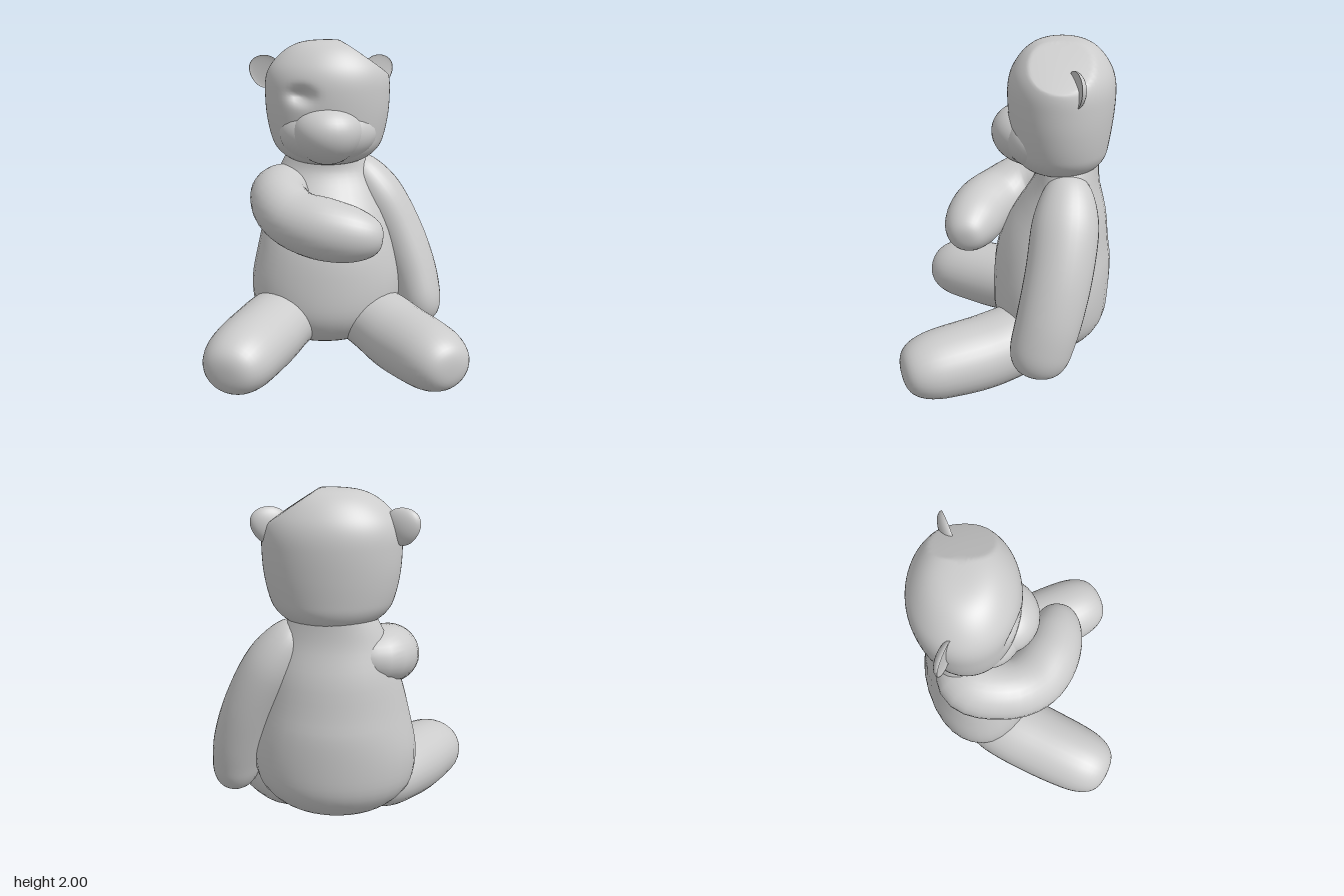
import * as THREE from 'three';
import { mergeVertices } from 'three/addons/utils/BufferGeometryUtils.js';

const material = new THREE.MeshStandardMaterial({ color: 0xcccccc });

// Smooth interpolation through rows of numbers, t in 0..1
function sample(rows, t) {
  const n = rows.length - 1;
  const i = Math.min(Math.floor(t * n), n - 1), f = t * n - i;
  const [p, a, b, q] = [Math.max(i - 1, 0), i, i + 1, Math.min(i + 2, n)].map(k => rows[k]);
  return a.map((v, k) => 0.5 * (2 * v + (b[k] - p[k]) * f
    + (2 * p[k] - 5 * v + 4 * b[k] - q[k]) * f * f
    + (3 * v - p[k] + q[k] - 3 * b[k]) * f * f * f));
}

// Stuffed shape: stations are [x, y, z, radiusAcross, radiusAlongRef], with domed ends
function stuffed(stations, ref, capStart, capEnd, steps = 40, sides = 32) {
  const dome = u => Math.pow(Math.max(0, 1 - Math.pow(u, 2.4)), 1 / 2.4);
  const positions = [], index = [];
  for (let i = 0; i <= steps; i++) {
    const t = (1 - Math.cos(Math.PI * i / steps)) / 2;
    const [x, y, z, ra, rb] = sample(stations, t);
    const before = sample(stations, Math.max(t - 0.02, 0)), after = sample(stations, Math.min(t + 0.02, 1));
    const T = new THREE.Vector3(after[0] - before[0], after[1] - before[1], after[2] - before[2]).normalize();
    const S = new THREE.Vector3().crossVectors(ref, T).normalize();
    const U = new THREE.Vector3().crossVectors(T, S);
    let k = 1;
    if (t < capStart) k *= dome(1 - t / capStart);
    if (t > 1 - capEnd) k *= dome((t - 1 + capEnd) / capEnd);
    for (let j = 0; j < sides; j++) {
      const a = j / sides * Math.PI * 2;
      const p = new THREE.Vector3(x, y, z)
        .addScaledVector(S, Math.cos(a) * ra * k).addScaledVector(U, Math.sin(a) * rb * k);
      positions.push(p.x, p.y, p.z);
      if (i < steps) {
        const c = i * sides + j, d = i * sides + (j + 1) % sides;
        index.push(c, d, c + sides, d, d + sides, c + sides);
      }
    }
  }
  const g = new THREE.BufferGeometry();
  g.setAttribute('position', new THREE.Float32BufferAttribute(positions, 3));
  g.setIndex(index);
  const merged = mergeVertices(g, 1e-5);
  merged.computeVertexNormals();
  return merged;
}

// Move every vertex by a rule, with seams welded
function reshape(source, rule) {
  source.deleteAttribute('normal');
  source.deleteAttribute('uv');
  const g = mergeVertices(source, 1e-5);
  const p = g.attributes.position, v = new THREE.Vector3();
  for (let i = 0; i < p.count; i++) {
    rule(v.fromBufferAttribute(p, i));
    p.setXYZ(i, v.x, v.y, v.z);
  }
  g.computeVertexNormals();
  return g;
}

export function createModel() {
  const bear = new THREE.Group();
  bear.name = 'teddyBear';
  const Y = new THREE.Vector3(0, 1, 0), Z = new THREE.Vector3(0, 0, 1);
  const add = (name, geometry) => {
    const mesh = new THREE.Mesh(geometry, material);
    mesh.name = name;
    bear.add(mesh);
    return mesh;
  };

  // Pear-shaped body, bottom to neck
  add('body', stuffed([
    [0, 0.12, -0.25, 0.38, 0.29], [0, 0.3, -0.25, 0.45, 0.34], [0, 0.52, -0.255, 0.475, 0.355],
    [0, 0.76, -0.27, 0.43, 0.34], [0, 1.0, -0.315, 0.37, 0.265], [0, 1.2, -0.335, 0.3, 0.19],
    [0, 1.36, -0.33, 0.22, 0.19]], Z, 0.25, 0));

  // Head with a sloping left crown and one pressed-in eye socket
  add('head', reshape(stuffed([
    [0.01, 1.25, -0.29, 0.27, 0.25], [0.01, 1.4, -0.29, 0.34, 0.275], [0.01, 1.55, -0.29, 0.375, 0.295],
    [0.01, 1.7, -0.29, 0.385, 0.305], [0.01, 1.86, -0.29, 0.38, 0.3], [0.01, 2.01, -0.29, 0.33, 0.27]],
    Z, 0.2, 0.4, 64, 72), v => {
    const d = ((v.x + 0.17) / 0.06) ** 2 + ((v.y - 1.69) / 0.045) ** 2;
    if (v.z > -0.25) v.z -= 0.07 * Math.exp(-d);
    const over = v.y - (2.06 - 0.68 * v.x);
    if (over > 0) v.y -= over * 0.9;
  }));

  // Muzzle, broad above and narrowing to the chin, set in rounded cheeks
  add('muzzle', reshape(new THREE.SphereGeometry(1, 32, 24), v =>
    v.set(-0.01 + v.x * (0.215 + 0.025 * v.y), 1.45 + v.y * 0.18, -0.1 + v.z * 0.21 + v.y * 0.02)));
  add('cheeks', reshape(new THREE.SphereGeometry(1, 32, 24), v =>
    v.set(v.x * 0.3, 1.46 + v.y * 0.19, -0.17 + v.z * 0.21)));

  // Cupped ears, hollow towards the front
  for (const [name, x, turn] of [['leftEar', 0.34, 0.38], ['rightEar', -0.375, -0.38]]) {
    const ear = add(name, reshape(new THREE.SphereGeometry(1, 24, 16), v =>
      v.set(v.x * (0.1 + 0.02 * v.y), v.y * 0.1, (v.z > 0 ? -0.2 * v.z : v.z) * 0.05)));
    ear.position.set(x, 1.815, -0.37);
    ear.rotation.y = turn;
  }

  // Left arm hangs at the side
  add('leftArm', stuffed([
    [0.17, 1.27, -0.35, 0.14, 0.16], [0.33, 1.04, -0.34, 0.165, 0.19], [0.46, 0.8, -0.315, 0.165, 0.19],
    [0.55, 0.56, -0.27, 0.16, 0.185], [0.595, 0.37, -0.225, 0.145, 0.175], [0.61, 0.22, -0.205, 0.13, 0.16]],
    Z, 0.25, 0.23));

  // Right arm folds across the chest
  add('rightArm', stuffed([
    [-0.04, 1.1, -0.38, 0.12, 0.12], [-0.25, 1.09, -0.3, 0.19, 0.16], [-0.295, 1.04, -0.08, 0.18, 0.175],
    [-0.21, 0.975, 0.075, 0.19, 0.175], [-0.06, 0.94, 0.175, 0.185, 0.185], [0.12, 0.91, 0.225, 0.165, 0.165],
    [0.28, 0.89, 0.24, 0.14, 0.135]], Y, 0.2, 0.25));

  // Legs splay forward; the left one sits lower
  for (const [name, s, drop] of [['leftLeg', 1, 0.04], ['rightLeg', -1, 0]]) {
    add(name, stuffed([
      [s * 0.15, 0.29, -0.3, 0.22, 0.18], [s * 0.3, 0.29 - drop * 0.5, -0.1, 0.23, 0.2],
      [s * 0.42, 0.265 - drop, 0.12, 0.23, 0.21], [s * 0.53, 0.25 - drop, 0.34, 0.22, 0.2],
      [s * 0.64, 0.22 - drop * 0.6, 0.57, 0.19, 0.17]], Y, 0.25, 0.22));
  }
  return bear;
}
